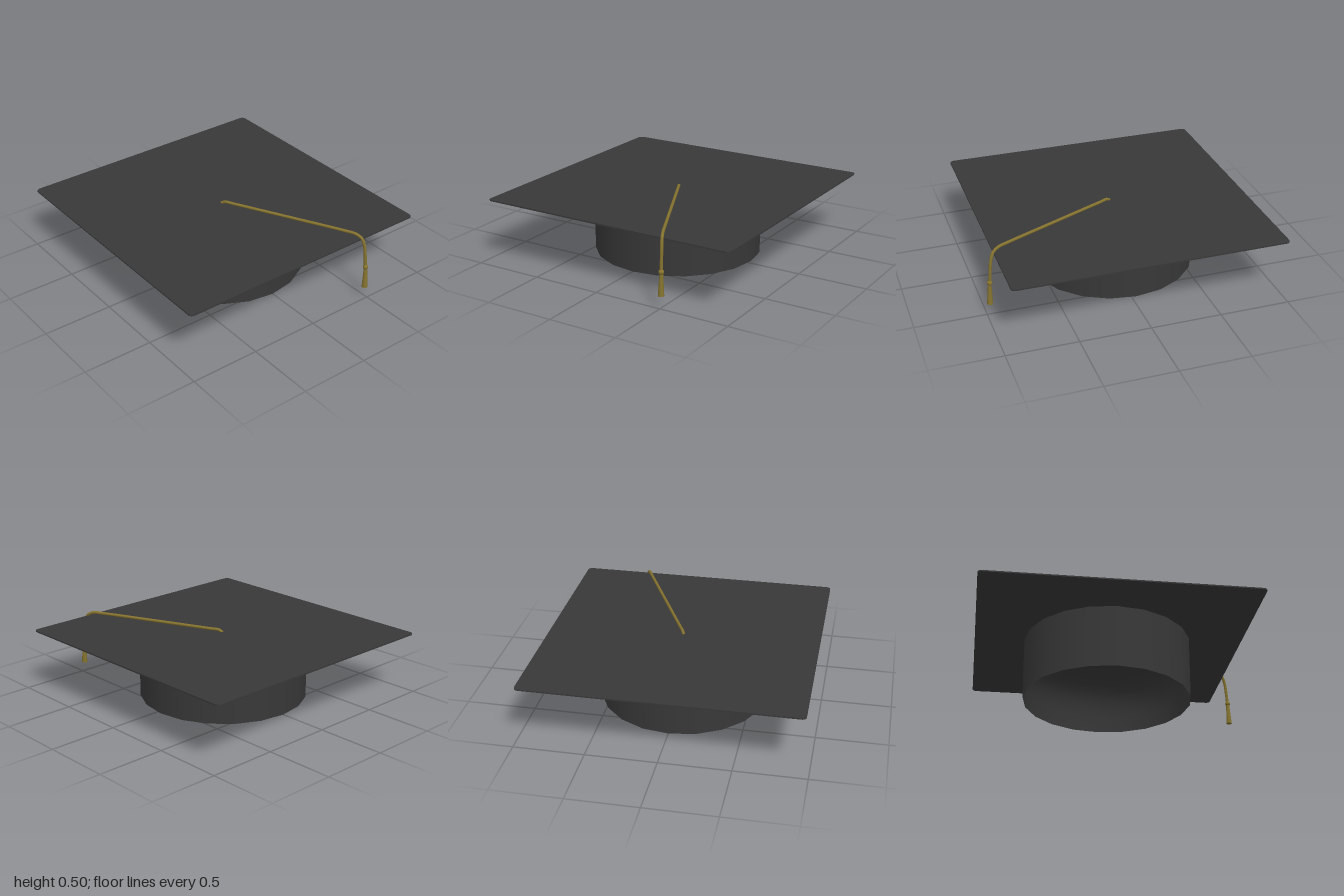
import * as THREE from 'three';

const CX = -0.036; // centre of cap and board

function cloth(color, side = THREE.FrontSide) {
  const m = new THREE.MeshStandardMaterial({ side });
  m.color.set(color);
  return m;
}

export function createModel() {
  const group = new THREE.Group();
  const black = cloth(0x383838);
  const blackThin = cloth(0x383838, THREE.DoubleSide);
  const gold = cloth(0x85732f);

  function add(name, geometry, material, x = 0, y = 0, z = 0) {
    const mesh = new THREE.Mesh(geometry, material);
    mesh.name = name;
    mesh.position.set(x, y, z);
    group.add(mesh);
    return mesh;
  }

  // Square board with slightly rounded corners
  const h = 0.965, r = 0.03;
  const square = new THREE.Shape();
  square.moveTo(-h + r, -h);
  square.lineTo(h - r, -h);
  square.absarc(h - r, -h + r, r, -Math.PI / 2, 0);
  square.lineTo(h, h - r);
  square.absarc(h - r, h - r, r, 0, Math.PI / 2);
  square.lineTo(-h + r, h);
  square.absarc(-h + r, h - r, r, Math.PI / 2, Math.PI);
  square.lineTo(-h, -h + r);
  square.absarc(-h + r, -h + r, r, Math.PI, Math.PI * 1.5);
  const boardGeo = new THREE.ExtrudeGeometry(square, { depth: 0.01, bevelEnabled: false, curveSegments: 4 });
  boardGeo.rotateX(-Math.PI / 2);
  add('board', boardGeo, black, CX, 0.45, 0);

  // Skull cap: 20-sided outer band
  add('capBand', new THREE.CylinderGeometry(0.605, 0.605, 0.45, 20, 1, true), blackThin, CX, 0.225, 0);

  // Hollow lining, rounding over into the ceiling
  const lining = [];
  for (let i = 0; i <= 10; i++) {
    const a = (i / 10) * Math.PI / 2;
    lining.push(new THREE.Vector2(0.603 * Math.pow(Math.max(Math.cos(a), 0), 0.5), 0.44 * Math.pow(Math.sin(a), 0.7)));
  }
  add('capLining', new THREE.LatheGeometry(lining, 20), blackThin, CX, 0, 0);

  // Cord lying across the board and hanging over the edge
  const cordPath = new THREE.CatmullRomCurve3([
    [-0.03, 0.457, -0.01], [-0.015, 0.471, -0.018], [0.05, 0.473, -0.05], [0.45, 0.482, -0.245],
    [0.82, 0.489, -0.425], [0.89, 0.487, -0.458], [0.932, 0.463, -0.477],
    [0.952, 0.41, -0.487], [0.962, 0.33, -0.491], [0.97, 0.23, -0.494],
  ].map(p => new THREE.Vector3(...p)));
  add('cord', new THREE.TubeGeometry(cordPath, 60, 0.011, 8), gold);
  add('cordEnd', new THREE.SphereGeometry(0.012, 8, 6), gold, -0.03, 0.46, -0.01);

  // Knot and flared tassel
  add('knot', new THREE.SphereGeometry(0.019, 12, 8), gold, 0.97, 0.243, -0.494);
  const skirt = add('tassel', new THREE.CylinderGeometry(0.012, 0.021, 0.155, 12), gold, 0.973, 0.157, -0.495);
  skirt.rotation.z = 0.03;

  return group;
}
